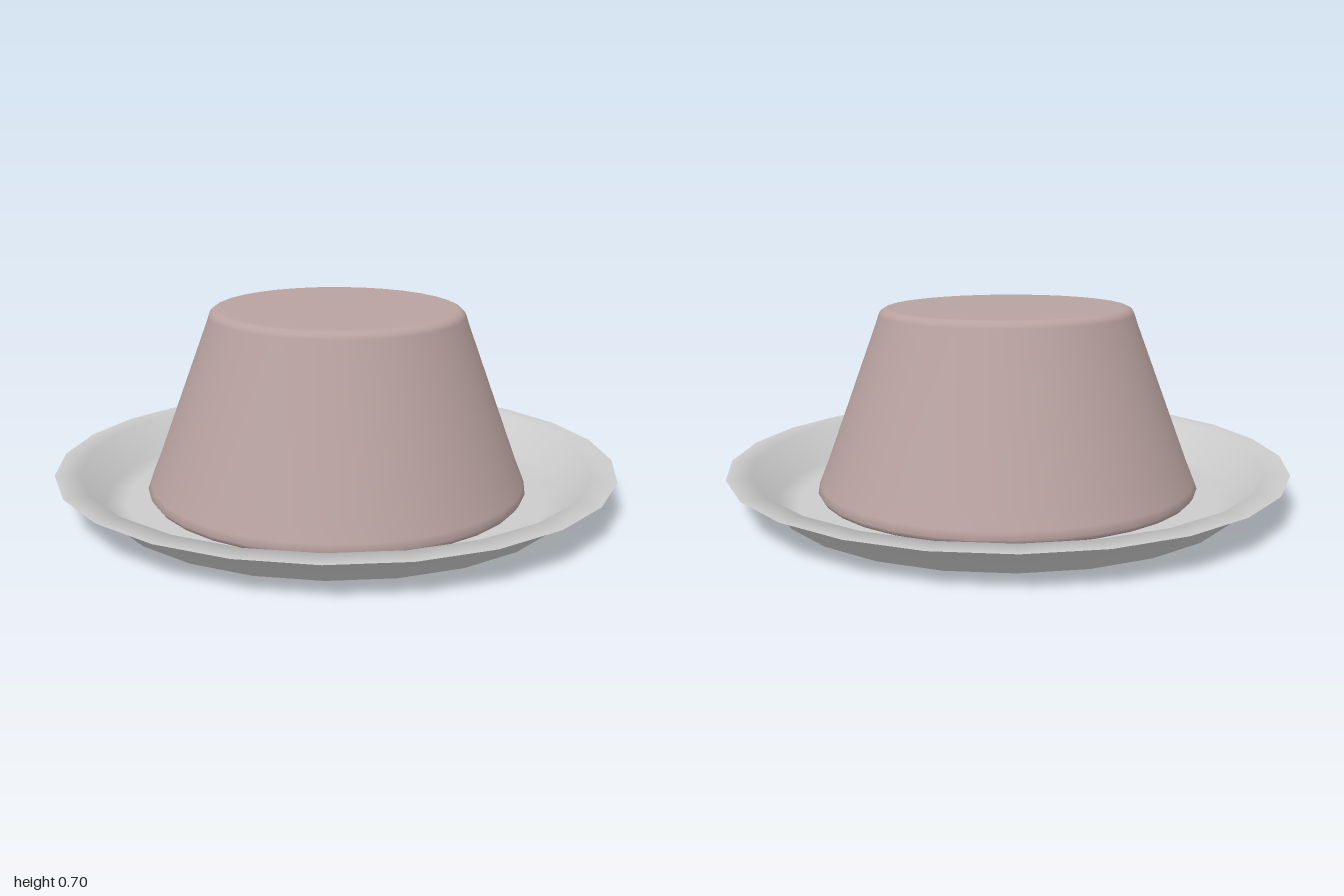
import * as THREE from 'three';

const lathe = (name, profile, sides, material) => {
  const points = profile.map(([r, y]) => new THREE.Vector2(r, y));
  const mesh = new THREE.Mesh(new THREE.LatheGeometry(points, sides), material);
  mesh.name = name;
  return mesh;
};

export function createModel() {
  const group = new THREE.Group();
  group.name = 'puddingOnPlate';

  // Thin plate: flat floor, sloping wall and flat rim
  const plateMaterial = new THREE.MeshStandardMaterial({ color: 0xcccccc, side: THREE.DoubleSide });
  group.add(lathe('plate', [
    [0, 0], [0.4, 0], [0.76, 0], [0.835, 0.01], [0.914, 0.13], [1, 0.13],
  ], 24, plateMaterial));

  // Tapered pudding with a rounded top edge, resting at a slight tilt
  const puddingMaterial = new THREE.MeshStandardMaterial({ color: 0xb8a29f });
  const profile = [[0, 0.022], [0.64, 0.022], [0.672, 0.027], [0.684, 0.045], [0.675, 0.07], [0.65, 0.13], [0.55, 0.4], [0.465, 0.63]];
  for (let i = 0; i <= 5; i++) {
    const a = 0.35 + (i / 5) * (Math.PI / 2 - 0.35);
    profile.push([0.42 + 0.036 * Math.cos(a), 0.652 + 0.036 * Math.sin(a)]);
  }
  profile.push([0.4, 0.688], [0, 0.688]);
  const pudding = lathe('pudding', profile, 32, puddingMaterial);
  pudding.rotation.set(0.01, 0, -0.015);
  pudding.position.set(-0.001, 0, -0.004);
  group.add(pudding);

  return group;
}
